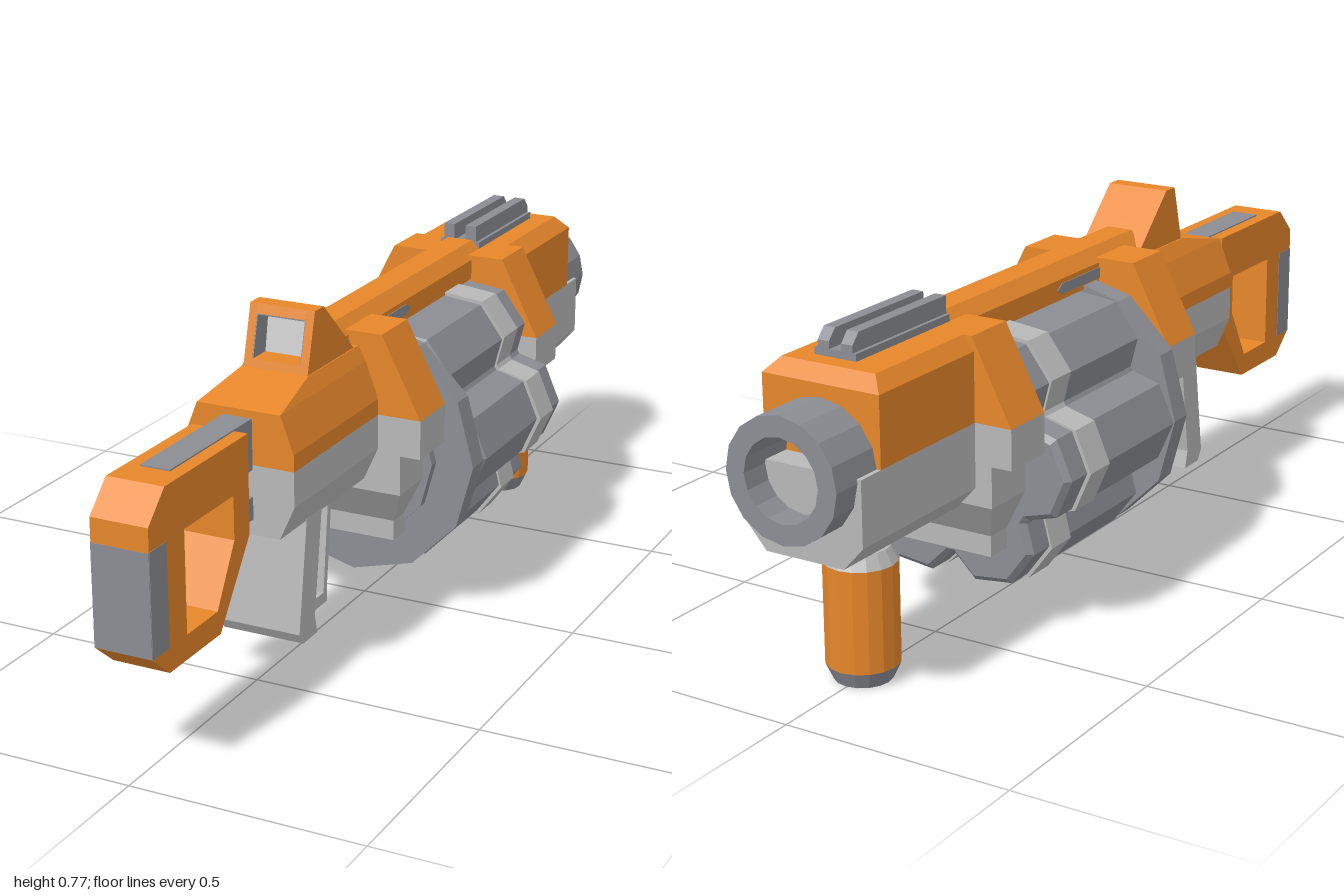
import * as THREE from 'three';

const mat = (color) => new THREE.MeshStandardMaterial({ color, flatShading: true });

export function createModel() {
  const model = new THREE.Group();
  const orange = mat(0xe6862a), dark = mat(0x8b8d93), light = mat(0xb8b8b8), pale = mat(0xcccccc);

  function add(name, geometry, material, x = 0, y = 0, z = 0) {
    const mesh = new THREE.Mesh(geometry, material);
    mesh.name = name;
    mesh.position.set(x, y, z);
    model.add(mesh);
    return mesh;
  }
  // Box given by its limits
  function box(name, material, x0, x1, y0, y1, z0, z1) {
    return add(name, new THREE.BoxGeometry(x1 - x0, y1 - y0, z1 - z0), material,
      (x0 + x1) / 2, (y0 + y1) / 2, (z0 + z1) / 2);
  }
  // Rectangles [y, x0, x1, z0, z1] joined from bottom to top
  function stack(name, material, levels) {
    const pos = [];
    const rings = levels.map(([y, x0, x1, z0, z1]) => [[x0, y, z1], [x1, y, z1], [x1, y, z0], [x0, y, z0]]);
    const quad = (a, b, c, d) => pos.push(...a, ...b, ...c, ...a, ...c, ...d);
    for (let i = 0; i + 1 < rings.length; i++) {
      const a = rings[i], b = rings[i + 1];
      for (let k = 0; k < 4; k++) quad(a[k], a[(k + 1) % 4], b[(k + 1) % 4], b[k]);
    }
    const top = rings[rings.length - 1];
    quad(...top);
    quad(...rings[0].slice().reverse());
    const g = new THREE.BufferGeometry();
    g.setAttribute('position', new THREE.Float32BufferAttribute(pos, 3));
    g.computeVertexNormals();
    return add(name, g, material);
  }
  const path = (pts) => pts.map(([a, b]) => new THREE.Vector2(a, b));
  // Side outline in (z, y), extruded across x
  function side(name, material, pts, x0, x1, hole) {
    const shape = new THREE.Shape(path(pts));
    if (hole) shape.holes.push(new THREE.Path(path(hole)));
    const g = new THREE.ExtrudeGeometry(shape, { depth: x1 - x0, bevelEnabled: false });
    g.rotateY(-Math.PI / 2);
    return add(name, g, material, x1);
  }

  // Shoulder stock
  side('stock', orange,
    [[1, 0.535], [0.94, 0.594], [0.63, 0.594], [0.63, 0.385], [0.75, 0.222], [0.94, 0.222], [1, 0.273]],
    -0.062, 0.062,
    [[0.875, 0.487], [0.69, 0.487], [0.69, 0.395], [0.76, 0.273], [0.875, 0.273]]);
  box('buttPad', dark, -0.063, 0.063, 0.273, 0.487, 0.94, 1);
  box('buttPadFace', dark, -0.062, 0.062, 0.275, 0.485, 0.99, 1.001);
  box('upperStockBar', dark, -0.032, 0.032, 0.49, 0.597, 0.5, 0.87);
  box('lowerStockBar', dark, -0.032, 0.032, 0.385, 0.433, 0.5, 0.66);

  // Receiver
  stack('receiverLower', light, [
    [0.352, -0.091, 0.091, 0.1, 0.56], [0.425, -0.122, 0.124, 0.1, 0.56], [0.5, -0.122, 0.124, 0.1, 0.56]]);
  stack('receiverUpper', orange, [
    [0.5, -0.122, 0.124, 0.1, 0.56], [0.535, -0.122, 0.124, 0.1, 0.56],
    [0.613, -0.091, 0.095, 0.1, 0.56], [0.645, -0.073, 0.078, 0.1, 0.41]]);

  // Rear sight with a recessed window
  const sight = [[0.41, 0.64], [0.375, 0.77], [0.337, 0.77], [0.2, 0.64]];
  side('sightWall', orange, sight, -0.07, -0.052);
  side('sightWall', orange, sight, 0.058, 0.076);
  side('sightFrame', orange, [[0.41, 0.64], [0.404, 0.662], [0.345, 0.662], [0.328, 0.75],
    [0.381, 0.75], [0.375, 0.77], [0.337, 0.77], [0.2, 0.64]], -0.052, 0.058);
  side('sightWindow', pale, [[0.352, 0.662], [0.34, 0.662], [0.326, 0.75], [0.336, 0.75]], -0.052, 0.058);
  for (const x of [-0.052, 0.056])
    side('sightLining', dark, [[0.403, 0.662], [0.345, 0.662], [0.328, 0.75], [0.38, 0.75]], x, x + 0.002);
  box('sightLiningTop', dark, -0.052, 0.058, 0.747, 0.75, 0.33, 0.38);

  // Trigger grip, guard and trigger
  side('grip', light, [[0.45, 0.37], [0.488, 0.115], [0.472, 0.09], [0.41, 0.09], [0.42, 0.13], [0.385, 0.37]], -0.091, 0.094);
  side('triggerGuard', light,
    [[0.44, 0.09], [0.262, 0.09], [0.262, 0.115], [0.232, 0.37], [0.248, 0.37], [0.277, 0.115], [0.44, 0.115]], -0.04, 0.04);
  side('trigger', light, [[0.37, 0.36], [0.335, 0.325], [0.31, 0.295], [0.318, 0.33], [0.32, 0.36]], -0.02, 0.02);

  // Clamps on both ends of the drum; s points away from the drum
  for (const [name, inner, s] of [['rearClamp', 0.065, 1], ['frontClamp', -0.44, -1]]) {
    const level = (y, x0, x1, depth) => {
      const outer = inner + s * depth;
      return [y, x0, x1, Math.min(inner, outer), Math.max(inner, outer)];
    };
    stack(name + 'Foot', light, [level(0.195, -0.139, 0.131, 0.06), level(0.24, -0.139, 0.131, 0.06),
      level(0.327, -0.183, 0.175, 0.122), level(0.415, -0.183, 0.175, 0.122)]);
    stack(name + 'Jaw', light, [level(0.415, -0.229, 0.221, 0.122), level(0.5, -0.229, 0.221, 0.122)]);
    stack(name + 'Top', orange, [level(0.5, -0.229, 0.221, 0.122), level(0.675, -0.14, 0.132, 0.122)]);
  }

  // Six-chamber drum: each lobe is given as (outward, sideways) points
  const lobe = [[0.185, -0.101], [0.25, -0.083], [0.286, 0], [0.25, 0.083], [0.185, 0.101]];
  function drumPart(name, material, scale, z0, z1, bevel) {
    const pts = [];
    for (let i = 0; i < 6; i++) {
      const c = Math.cos(i * Math.PI / 3), s = Math.sin(i * Math.PI / 3);
      for (const [r, t] of lobe) pts.push([scale * (r * c - t * s), scale * (r * s + t * c)]);
    }
    const g = new THREE.ExtrudeGeometry(new THREE.Shape(path(pts)), {
      depth: z1 - z0 - 2 * bevel, bevelEnabled: bevel > 0, bevelSegments: 1,
      bevelThickness: bevel, bevelSize: bevel, bevelOffset: -bevel });
    add(name, g, material, 0, 0.361, z0 + bevel);
  }
  drumPart('drum', dark, 1, -0.44, 0, 0.012);
  drumPart('drumBand', light, 1.03, -0.37, -0.295, 0);
  const disc = (name, r, z0, z1) =>
    add(name, new THREE.CylinderGeometry(r, r, z1 - z0, 12).rotateX(Math.PI / 2), dark, 0, 0.361, (z0 + z1) / 2);
  disc('drumPlate', 0.283, 0, 0.053);
  disc('drumHub', 0.197, 0.05, 0.075);

  // Top tube and the thin rod beside it
  const tube = [[-0.056, 0.62], [0.056, 0.62], [0.056, 0.665], [0.03, 0.694], [-0.03, 0.694], [-0.056, 0.665]];
  add('topTube', new THREE.ExtrudeGeometry(new THREE.Shape(path(tube)),
    { depth: 0.75, bevelEnabled: false }), orange, 0, 0, -0.5);
  side('topRod', dark, [[0.2, 0.632], [0.2, 0.655], [-0.09, 0.655], [-0.11, 0.643], [-0.09, 0.632]], -0.058, 0.058);

  // Barrel housing
  stack('housingUpper', orange, [
    [0.5, -0.145, 0.124, -0.875, -0.5], [0.645, -0.145, 0.124, -0.875, -0.5], [0.675, -0.12, 0.095, -0.85, -0.5]]);
  stack('housingLower', light, [
    [0.315, -0.1, 0.08, -0.937, -0.5], [0.365, -0.145, 0.124, -0.937, -0.5], [0.5, -0.145, 0.124, -0.937, -0.5]]);

  // Accessory rail with a central slot
  box('railBase', dark, -0.048, 0.048, 0.67, 0.69, -0.81, -0.5);
  for (const x of [-0.04, 0.014])
    side('railRidge', dark, [[-0.5, 0.685], [-0.5, 0.727], [-0.79, 0.727], [-0.81, 0.705], [-0.81, 0.685]], x, x + 0.026);

  // Hollow muzzle
  const bore = path([[0, -0.86], [0.085, -0.86], [0.085, -1], [0.127, -1], [0.127, -0.8]].map(([r, z]) => [r, -z]));
  const muzzle = new THREE.LatheGeometry(bore.reverse(), 16).rotateX(-Math.PI / 2);
  const muzzleMaterial = mat(0x8b8d93);
  muzzleMaterial.side = THREE.DoubleSide;
  add('muzzle', muzzle, muzzleMaterial, -0.01, 0.492, 0);

  // Front hand grip
  const round = (name, material, r0, r1, y0, y1) =>
    add(name, new THREE.CylinderGeometry(r1, r0, y1 - y0, 16), material, 0.002, (y0 + y1) / 2, -0.747);
  round('handGrip', orange, 0.076, 0.076, 0.035, 0.25);
  round('handGripBase', dark, 0.06, 0.076, 0, 0.035);
  round('handGripCollar', light, 0.076, 0.06, 0.25, 0.28);
  round('handGripNeck', dark, 0.022, 0.022, 0.27, 0.33);

  return model;
}
